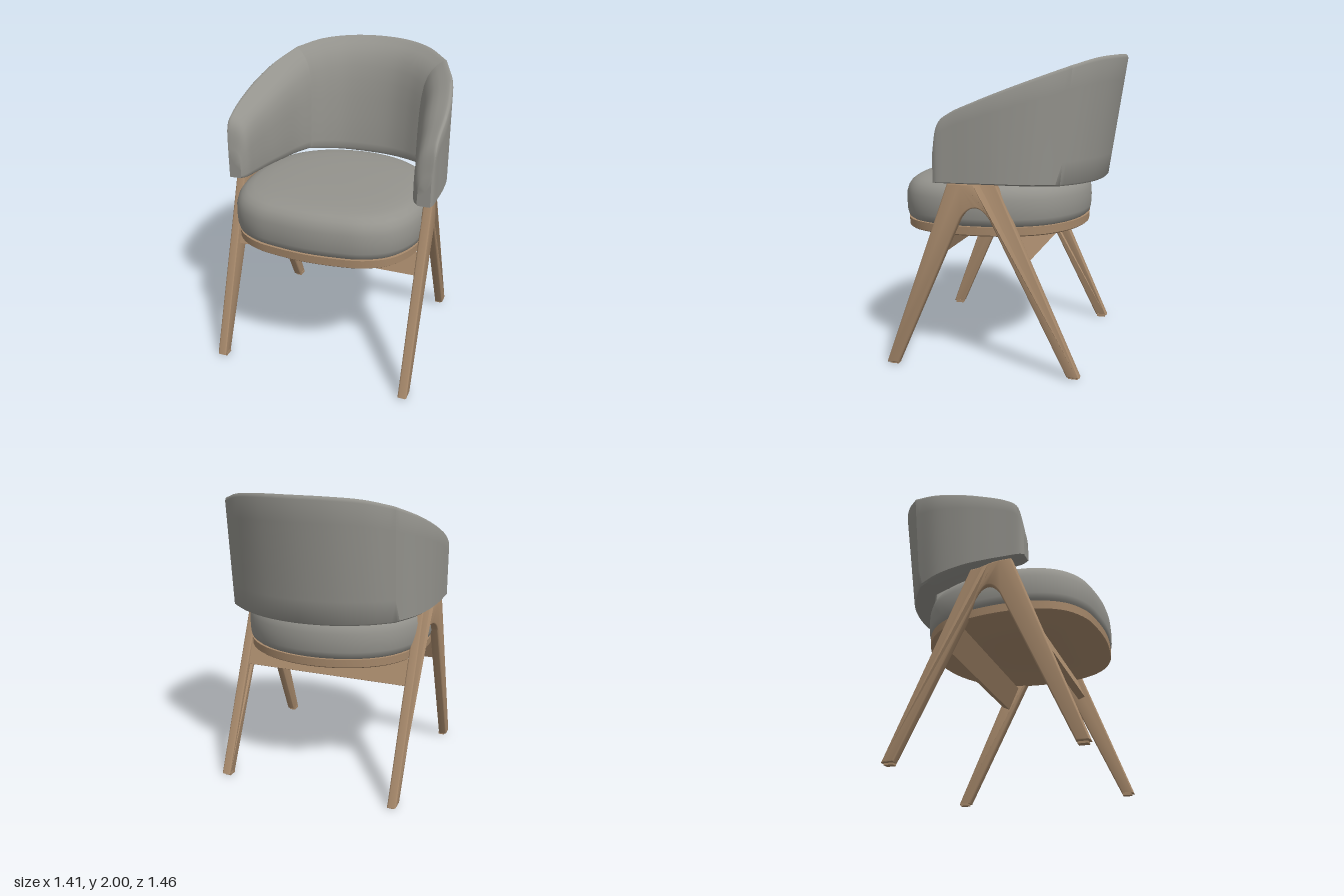
import * as THREE from 'three';
import { toCreasedNormals } from 'three/addons/utils/BufferGeometryUtils.js';

const fabric = new THREE.MeshStandardMaterial({ color: 0x94938d });
fabric.name = 'grey fabric';
const wood = new THREE.MeshStandardMaterial({ color: 0xa88a6c });
wood.name = 'oak wood';

function add(parent, name, geometry, material) {
  const mesh = new THREE.Mesh(geometry, material);
  mesh.name = name;
  parent.add(mesh);
  return mesh;
}

// Skin a list of closed loops that all have the same number of points
function loft(loops) {
  const n = loops[0].length, index = [];
  for (let i = 0; i < loops.length - 1; i++) {
    for (let j = 0; j < n; j++) {
      const k = (j + 1) % n, a = i * n + j, b = i * n + k;
      index.push(a, b, a + n, b, b + n, a + n);
    }
  }
  const g = new THREE.BufferGeometry().setFromPoints(loops.flat());
  g.setIndex(index);
  return toCreasedNormals(g, 0.75);
}

// A loop collapsed to its centre, used to close a loft
function collapse(loop) {
  const c = new THREE.Vector3();
  loop.forEach(p => c.add(p));
  c.divideScalar(loop.length);
  return loop.map(() => c.clone());
}

// Backrest: outer top edge (x, top height, z) and inner lower edge (x, z), centre to arm tip
const outerKeys = [
  [0, 2, -0.73], [0.22, 1.995, -0.695], [0.41, 1.975, -0.6], [0.56, 1.93, -0.47],
  [0.645, 1.86, -0.28], [0.69, 1.785, -0.08], [0.705, 1.715, 0.1], [0.705, 1.65, 0.25],
  [0.703, 1.575, 0.335], [0.69, 1.4, 0.37],
].map(p => new THREE.Vector3(...p));
const innerKeys = [
  [0, -0.435], [0.16, -0.425], [0.29, -0.39], [0.4, -0.34],
  [0.45, -0.2], [0.49, -0.02], [0.525, 0.12], [0.552, 0.25], [0.57, 0.325], [0.605, 0.37],
].map(([x, z]) => new THREE.Vector3(x, 0, z));

// Padding section: height fraction, and fraction from outer to inner face
const section = [
  [0.015, 0], [0.2, 0], [0.4, 0], [0.6, 0], [0.8, 0], [0.97, 0], [0.99, 0.03], [1, 0.08],
  [0.995, 0.14], [0.98, 0.22], [0.945, 0.42], [0.9, 0.6], [0.84, 0.75], [0.76, 0.86],
  [0.64, 0.94], [0.5, 0.98], [0.3, 1], [0.08, 1], [0.025, 0.98], [0, 0.9], [0, 0.5], [0, 0.06],
];

function shellLoops(outer, inner, steps) {
  const curveO = new THREE.CatmullRomCurve3(outer, false, 'catmullrom');
  const curveI = new THREE.CatmullRomCurve3(inner, false, 'catmullrom');
  const loops = [];
  for (let i = 0; i <= steps; i++) {
    const o = curveO.getPoint(i / steps), q = curveI.getPoint(i / steps);
    const back = Math.max(0, -o.z / 0.73);
    const base = 1.22 - 0.02 * back;
    loops.push(section.map(([v, f]) => {
      const y = base + v * (o.y - base);
      const zo = o.z + 0.15 * back * (o.y - y);
      const zi = q.z - 0.15 * back * (y - base);
      return new THREE.Vector3(o.x + (q.x - o.x) * f, y, zo + (zi - zo) * f);
    }));
  }
  return loops;
}

// Seat plan, clockwise from the front centre
const halfPlan = [
  [0, 0.73], [0.2, 0.715], [0.37, 0.68], [0.52, 0.585], [0.61, 0.42], [0.64, 0.18],
  [0.605, -0.08], [0.49, -0.3], [0.28, -0.445], [0, -0.5],
];
const planKeys = [...halfPlan, ...halfPlan.slice(1, -1).reverse().map(([x, z]) => [-x, z])];
const plan = new THREE.CatmullRomCurve3(
  planKeys.map(([x, z]) => new THREE.Vector3(x, 0, z)), true).getPoints(72).slice(0, -1);
const midZ = 0.115;

// Stack of scaled seat plans, given as [inset, height]
function stack(levels) {
  const loops = levels.map(([inset, y]) => {
    const s = 1 - inset / 0.63;
    return plan.map(p => new THREE.Vector3(p.x * s, y, midZ + (p.z - midZ) * s));
  });
  return loft([collapse(loops[0]), ...loops, collapse(loops[loops.length - 1])]);
}

// Arched A-shaped side frame; its rear leg is set further inward than its front leg
function legFrame() {
  const s = new THREE.Shape();
  s.moveTo(0.72, 0.012);
  s.lineTo(0.28, 1.22);
  for (const z of [0.2, 0.16, 0.12, 0.08, 0.04, -0.01]) s.lineTo(z, 1.22);
  s.lineTo(-0.55, 0.012);
  s.lineTo(-0.47, 0.012);
  s.lineTo(0.025, 0.99);
  s.quadraticCurveTo(0.115, 1.14, 0.205, 0.99);
  s.lineTo(0.64, 0.012);
  const b = 0.01;
  const g = new THREE.ExtrudeGeometry(s, {
    depth: 0.06 - 2 * b, bevelThickness: b, bevelSize: b, bevelOffset: -b,
    bevelSegments: 3, curveSegments: 16,
  });
  g.rotateY(-Math.PI / 2);
  const p = g.attributes.position;
  for (let i = 0; i < p.count; i++) {
    const shift = 0.05 * THREE.MathUtils.smoothstep(p.getZ(i), 0, 0.2);
    p.setX(i, p.getX(i) + 0.625 + shift);
  }
  return toCreasedNormals(g, 0.6);
}

export function createModel() {
  const chair = new THREE.Group();
  chair.name = 'armchair';

  // Seat
  add(chair, 'seatCushion', stack([
    [0.03, 0.94], [0.012, 0.955], [0.003, 0.99], [0, 1.05], [0.003, 1.11], [0.015, 1.15],
    [0.035, 1.18], [0.065, 1.202], [0.11, 1.215], [0.2, 1.225], [0.35, 1.232], [0.5, 1.235],
  ]), fabric);
  add(chair, 'seatBase', stack([[0.025, 0.88], [0.015, 0.888], [0.012, 0.94]]), wood);

  // Curved back panel
  const mirrored = keys => [
    ...keys.slice(1, 4).reverse().map(p => new THREE.Vector3(-p.x, p.y, p.z)), ...keys.slice(0, 4)];
  add(chair, 'backPanel', loft(shellLoops(mirrored(outerKeys), mirrored(innerKeys), 36)), fabric);

  // Padded arms, side frames and feet, mirrored left and right
  const armLoops = shellLoops(outerKeys.slice(3), innerKeys.slice(3), 36);
  const armGeometry = loft([...armLoops, collapse(armLoops[armLoops.length - 1])]);
  const frameGeometry = legFrame();
  for (const [side, sx] of [['left', 1], ['right', -1]]) {
    const half = new THREE.Group();
    half.name = side + 'Side';
    half.scale.x = sx;
    chair.add(half);
    add(half, side + 'Arm', armGeometry, fabric);
    add(half, side + 'LegFrame', frameGeometry, wood);
    for (const [name, x, z] of [['FrontFoot', 0.645, 0.675], ['BackFoot', 0.595, -0.508]]) {
      add(half, side + name, new THREE.BoxGeometry(0.044, 0.02, 0.06), wood)
        .position.set(x, 0.01, z);
    }
  }

  // Tilted rails under the seat
  const frontRail = add(chair, 'frontRail', new THREE.BoxGeometry(1.25, 0.145, 0.05), wood);
  frontRail.position.set(0, 0.81, 0.365);
  frontRail.rotation.x = -0.35;
  const backRail = add(chair, 'backRail', new THREE.BoxGeometry(1.17, 0.18, 0.05), wood);
  backRail.position.set(0, 0.795, -0.15);
  backRail.rotation.x = 0.42;

  return chair;
}
